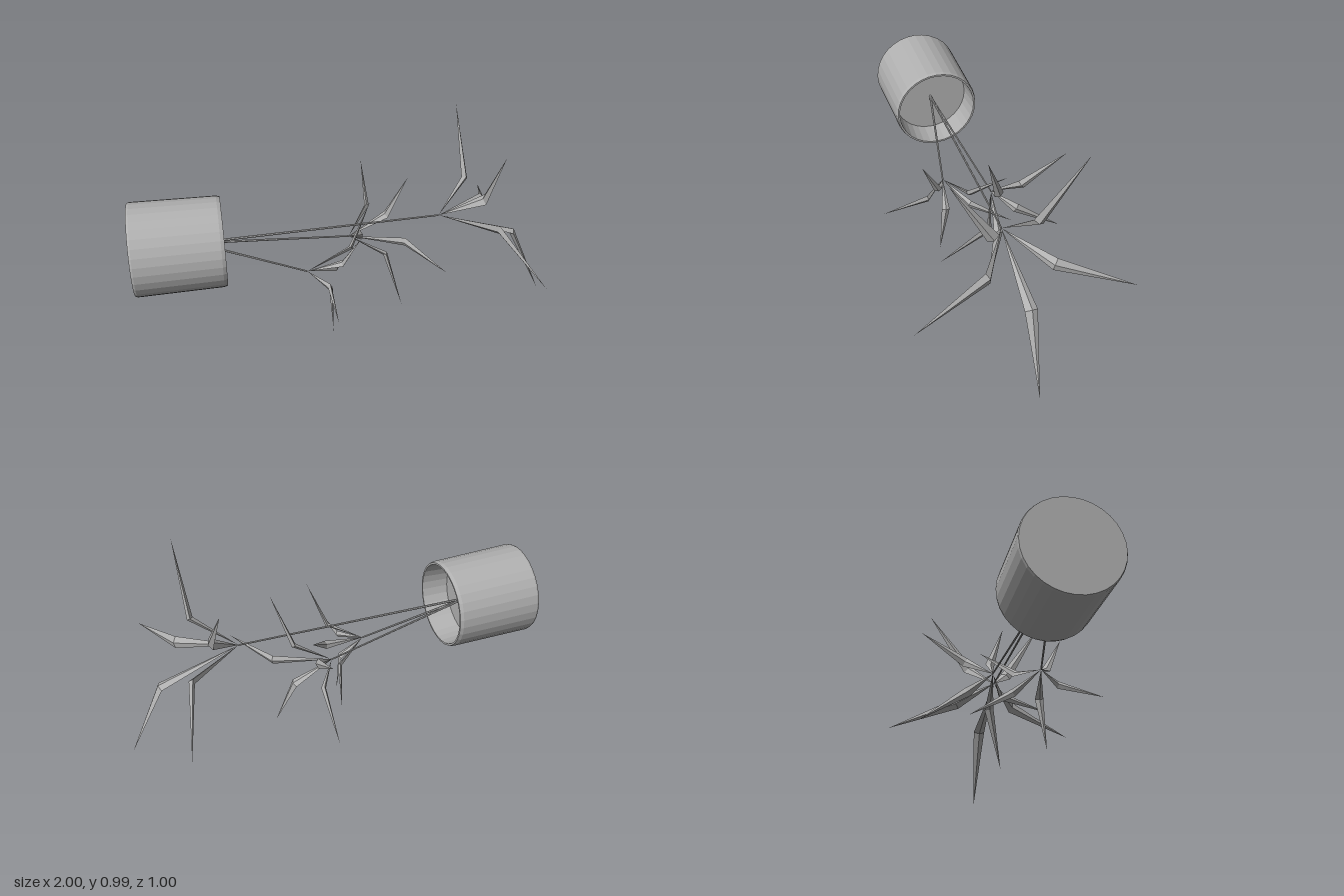
import * as THREE from 'three';

const grey = new THREE.MeshStandardMaterial({ color: 0xb0b0b0, flatShading: true });
grey.name = 'plainGrey';

const V = (p) => new THREE.Vector3(...p);

// Bent leaf: a diamond cross-section at the joint, tapering to a point both ways
function leaf(base, joint, tip, halfWidth) {
  const b = V(base), j = V(joint), t = V(tip);
  const along = t.clone().sub(b).normalize();
  const side = j.clone().sub(b).cross(t.clone().sub(j)).normalize();
  const up = along.clone().cross(side).normalize();
  const ring = [[1, 0], [0, 0.5], [-1, 0], [0, -0.5]].map(([s, u]) =>
    j.clone().addScaledVector(side, s * halfWidth).addScaledVector(up, u * halfWidth));
  const pts = [];
  for (let i = 0; i < 4; i++) {
    const p = ring[i], q = ring[(i + 1) % 4];
    pts.push(p, q, t, q, p, b);
  }
  const geometry = new THREE.BufferGeometry().setFromPoints(pts);
  geometry.computeVertexNormals();
  const mesh = new THREE.Mesh(geometry, grey);
  mesh.name = 'leaf';
  return mesh;
}

// Thin straight stem between two points
function stem(from, to) {
  const a = V(from), d = V(to).sub(a);
  const mesh = new THREE.Mesh(new THREE.CylinderGeometry(0.004, 0.006, d.length(), 6), grey);
  mesh.position.copy(a).addScaledVector(d, 0.5);
  mesh.quaternion.setFromUnitVectors(new THREE.Vector3(0, 1, 0), d.normalize());
  mesh.name = 'stem';
  return mesh;
}

// Round part whose profile is [radius, x], turned about the pot's lying axis
function turned(name, profile) {
  const geometry = new THREE.LatheGeometry(profile.map(([r, x]) => new THREE.Vector2(r, x)), 32);
  const mesh = new THREE.Mesh(geometry, grey);
  mesh.rotation.z = -Math.PI / 2;
  mesh.position.set(0, 0.507, -0.009);
  mesh.name = name;
  return mesh;
}

const root = [-0.71, 0.51, -0.01];

// Each branch: stem end, leaf half width, and [joint, tip] for every leaf
const branches = [
  {
    name: 'longBranch', end: [0.45, 0.54, 0], width: 0.029,
    leaves: [
      [[0.64, 0.67, 0.105], [0.65, 0.99, 0.293]],
      [[0.6, 0.67, -0.11], [0.6, 0.965, -0.326]],
      [[0.71, 0.52, 0.15], [0.825, 0.415, 0.5]],
      [[0.71, 0.515, -0.15], [0.81, 0.38, -0.5]],
      [[0.83, 0.405, 0], [1, 0.04, 0.01]],
    ],
  },
  {
    name: 'middleBranch', end: [0.03, 0.405, -0.097], width: 0.023,
    leaves: [
      [[0.14, 0.5, -0.21], [0.15, 0.64, -0.427]],
      [[0.11, 0.335, -0.2], [0.115, 0.175, -0.427]],
      [[0.21, 0.295, -0.075], [0.285, 0.025, 0]],
      [[0.29, 0.405, 0], [0.425, 0.395, 0.27]],
      [[0.21, 0.525, -0.075], [0.29, 0.773, 0.008]],
    ],
  },
  {
    name: 'shortBranch', end: [-0.2, 0.345, 0.076], width: 0.02,
    leaves: [
      [[-0.11, 0.317, 0.18], [-0.105, 0.28, 0.405]],
      [[-0.09, 0.245, 0.095], [-0.085, 0.005, 0.13]],
      [[-0.045, 0.285, -0.015], [0.02, 0.183, -0.21]],
      [[-0.04, 0.42, 0.145], [0.03, 0.617, 0.238]],
      [[0.02, 0.41, 0.01], [0.14, 0.555, -0.14]],
    ],
  },
];

export function createModel() {
  const model = new THREE.Group();
  model.name = 'pottedPlant';

  // Pot lying on its side, open toward +x
  model.add(turned('pot', [
    [0, -1], [0.216, -1], [0.22, -0.99], [0.214, -0.595], [0.209, -0.578],
    [0.2, -0.578], [0.19, -0.712],
  ]));
  model.add(turned('soil', [[0.191, -0.71], [0, -0.71]]));

  // Branches of stems and leaves
  for (const { name, end, width, leaves } of branches) {
    const branch = new THREE.Group();
    branch.name = name;
    branch.add(stem(root, end));
    for (const [joint, tip] of leaves) branch.add(leaf(end, joint, tip, width));
    model.add(branch);
  }
  return model;
}
